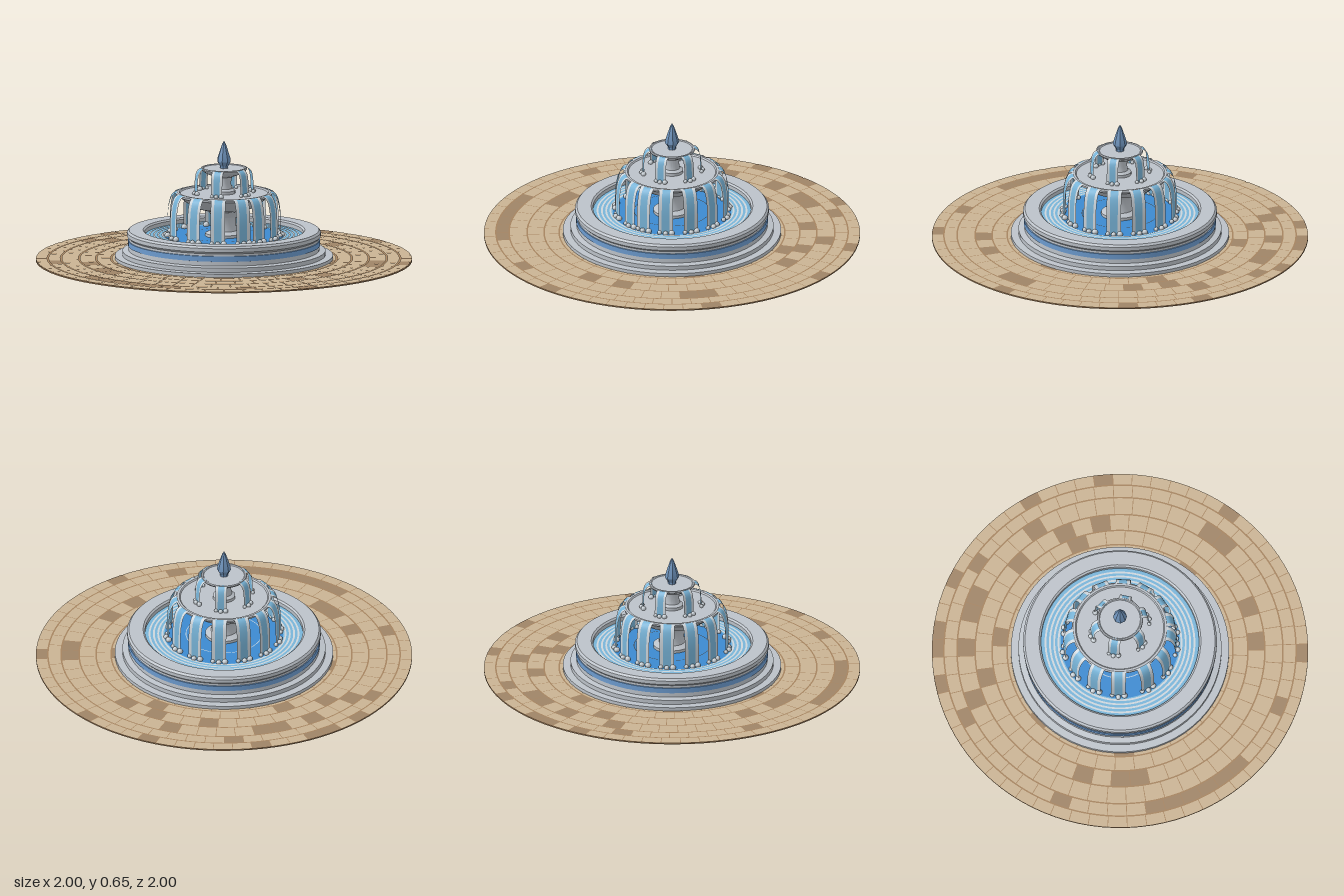
import * as THREE from 'three';
import { mergeGeometries, toCreasedNormals } from 'three/addons/utils/BufferGeometryUtils.js';

const mat = (name, color, side = THREE.FrontSide) => {
  const m = new THREE.MeshStandardMaterial({ color, side });
  m.name = name;
  return m;
};

export function createModel() {
  const root = new THREE.Group();
  root.name = 'fountain';
  const stone = mat('stone', 0xbcc2c9);
  const mortar = mat('mortar', 0xa5835f);
  const tan = mat('tanPaving', 0xc9b393);
  const brown = mat('brownPaving', 0x9f8467);
  const bandBlue = mat('bandBlue', 0x6c9bcf);
  const deep = mat('deepWater', 0x3c8ad0);
  const light = mat('lightWater', 0x78b4d8, THREE.DoubleSide);
  const foam = mat('foam', 0xcdd5db, THREE.DoubleSide);
  const finialBlue = mat('finialBlue', 0x6f94bd);

  const add = (name, geo, material, parent = root) => {
    const mesh = new THREE.Mesh(geo, material);
    mesh.name = name;
    parent.add(mesh);
    return mesh;
  };
  const lathe = (name, pts, material, segs = 64) => add(name,
    toCreasedNormals(new THREE.LatheGeometry(pts.map(p => new THREE.Vector2(...p)), segs), 0.5), material);
  const flatRing = (r0, r1, y, start = 0, len = Math.PI * 2, segs = 64) =>
    new THREE.RingGeometry(r0, r1, segs, 1, start, len).rotateX(-Math.PI / 2).translate(0, y, 0);

  let seed = 7;
  const rand = () => (seed = (seed * 16807) % 2147483647) / 2147483647;

  // Round plaza with concentric courses of paving
  lathe('plazaBed', [[0, 0.002], [1, 0.002], [1, 0.009], [0, 0.009]], mortar, 96);
  const courses = [0.53, 0.6, 0.68, 0.77, 0.866, 0.936, 1.0];
  const tiles = { tan: [], brown: [] };
  for (let c = 0; c < courses.length - 1; c++) {
    const r0 = courses[c] + 0.004, r1 = courses[c + 1] - (c === 5 ? 0.001 : 0.004);
    const count = Math.round((Math.PI * 2 * r1) / 0.105);
    const step = (Math.PI * 2) / count, gap = 0.004 / r1;
    for (let i = 0; i < count; i++) {
      const list = rand() < 0.14 ? tiles.brown : tiles.tan;
      list.push(flatRing(r0, r1, 0.012, (i + (c % 2) / 2) * step, step - gap, 3));
    }
  }
  add('tanTiles', mergeGeometries(tiles.tan), tan);
  add('brownTiles', mergeGeometries(tiles.brown), brown);

  // Stepped basin with moulded rim and inner wall
  lathe('basin', [
    [0.55, 0], [0.58, 0], [0.58, 0.03], [0.54, 0.032], [0.54, 0.055], [0.508, 0.06],
    [0.505, 0.125], [0.515, 0.135], [0.515, 0.155], [0.505, 0.166], [0.43, 0.166],
    [0.42, 0.158], [0.42, 0.11],
  ], stone);
  lathe('basinBand', [[0.506, 0.083], [0.511, 0.084], [0.511, 0.112], [0.506, 0.113]], bandBlue);

  // Pool and its ripples
  add('poolWater', flatRing(0, 0.421, 0.135), deep);
  add('shallowWater', flatRing(0.315, 0.42, 0.137), light);
  add('ripples', mergeGeometries([
    ...[0.322, 0.345, 0.368, 0.391].map(r => flatRing(r, r + 0.01, 0.139)),
    flatRing(0.2, 0.204, 0.139)]), foam);

  // Columns and bowls
  lathe('lowerColumn', [[0.1, 0.13], [0.1, 0.15], [0.07, 0.165], [0.063, 0.2], [0.066, 0.24],
    [0.085, 0.27], [0.085, 0.28]], stone, 24);
  lathe('lowerBowl', [[0, 0.275], [0.1, 0.275], [0.17, 0.295], [0.235, 0.345], [0.255, 0.355],
    [0.257, 0.366], [0.25, 0.371], [0.238, 0.371], [0.232, 0.364], [0, 0.364]], stone, 48);
  lathe('upperColumn', [[0.06, 0.36], [0.06, 0.38], [0.042, 0.39], [0.037, 0.42], [0.045, 0.465]], stone, 24);
  lathe('upperBowl', [[0, 0.455], [0.05, 0.455], [0.09, 0.47], [0.118, 0.488], [0.123, 0.497],
    [0.12, 0.503], [0.113, 0.503], [0.108, 0.499], [0, 0.499]], stone, 48);
  lathe('finial', [[0.022, 0.498], [0.022, 0.51], [0.037, 0.535], [0.035, 0.555], [0.022, 0.595],
    [0.01, 0.63], [0, 0.647]], finialBlue, 8);

  // Curved strip of falling water between two sideways offsets
  const strip = (path, x0, x1) => {
    const geo = new THREE.PlaneGeometry(1, 1, 1, 10);
    const p = geo.attributes.position;
    for (let i = 0; i < p.count; i++) {
      const q = path.getPoint(Math.floor(i / 2) / 10);
      p.setXYZ(i, i % 2 ? x1 : x0, q.y, q.x);
    }
    geo.computeVertexNormals();
    return geo;
  };
  const cascade = (name, degrees, pts, w, ball) => {
    const path = new THREE.SplineCurve(pts.map(p => new THREE.Vector2(...p)));
    const end = pts[pts.length - 1];
    const centre = strip(path, -w * 0.27, w * 0.27);
    const edges = mergeGeometries([strip(path, -w / 2, -w * 0.27), strip(path, w * 0.27, w / 2)]);
    // Splash drops where each sheet lands
    const drops = mergeGeometries([-0.42, 0, 0.42].map((t, i) =>
      new THREE.IcosahedronGeometry(ball * (0.85 + 0.15 * i), 1)
        .translate(t * w, end[1] + ball * 0.4, end[0] + (i === 1 ? ball * 0.7 : 0))));
    degrees.forEach(d => {
      const g = new THREE.Group();
      g.name = name;
      g.rotation.y = THREE.MathUtils.degToRad(d);
      add('sheetCentre', centre, light, g);
      add('sheetEdges', edges, foam, g);
      add('splash', drops, foam, g);
      root.add(g);
    });
  };
  cascade('lowerCascade', [-49, -18, 8.5, 35, 53, 77, 103, 129, 155, 181, 207, 233, 259, 285],
    [[0.24, 0.37], [0.265, 0.366], [0.286, 0.335], [0.298, 0.27], [0.3, 0.2], [0.3, 0.137]], 0.078, 0.014);
  cascade('upperCascade', [0, 60, 120, 180, 240, 300],
    [[0.11, 0.502], [0.13, 0.497], [0.146, 0.475], [0.153, 0.43], [0.155, 0.366]], 0.062, 0.012);

  return root;
}
